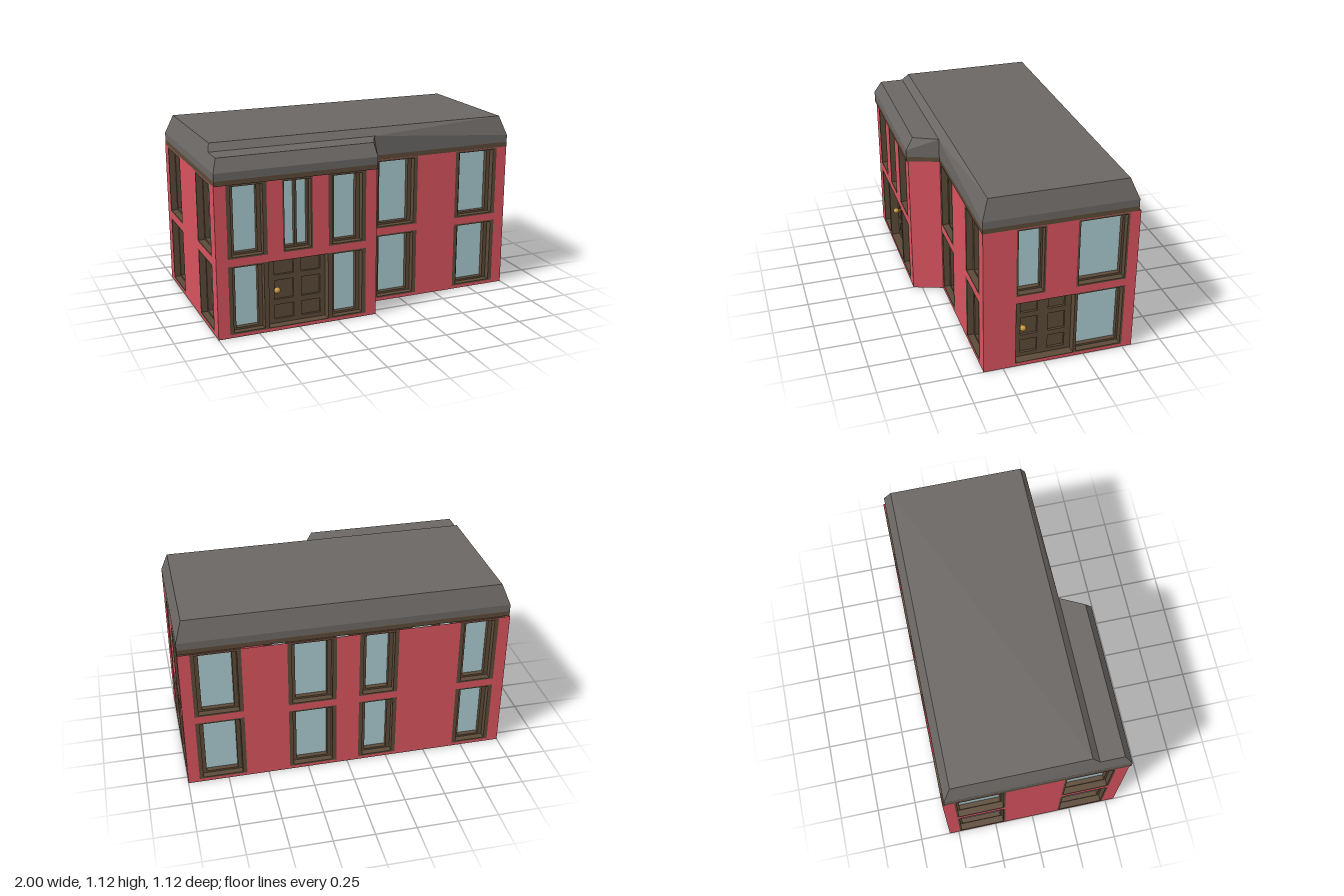
import * as THREE from 'three';

const mat = (color) => new THREE.MeshStandardMaterial({ color, flatShading: true, side: THREE.DoubleSide });
const brick = mat(0xd9535f), wood = mat(0x5c4a38), slate = mat(0x6b6764), glass = mat(0xaacbd0);
const brass = new THREE.MeshStandardMaterial({ color: 0xc8963a });

const LOW = [0.02, 0.44], HIGH = [0.485, 0.922], WALL_TOP = 0.926;

function add(parent, name, geometry, material, x = 0, y = 0, z = 0) {
  const mesh = new THREE.Mesh(geometry, material);
  mesh.name = name;
  mesh.position.set(x, y, z);
  parent.add(mesh);
  return mesh;
}

function trace(path, points) {
  points.forEach(([x, y], i) => (i ? path.lineTo(x, y) : path.moveTo(x, y)));
  path.closePath();
  return path;
}

// Flat rectangle with rectangular holes; each rectangle is [x0, x1, y0, y1]
const corners = ([x0, x1, y0, y1]) => [[x0, y0], [x1, y0], [x1, y1], [x0, y1]];
function panelShape(rect, holes = []) {
  const shape = trace(new THREE.Shape(), corners(rect));
  for (const h of holes) shape.holes.push(trace(new THREE.Path(), corners(h).reverse()));
  return shape;
}
const shrink = ([x0, x1, y0, y1], dx, dy) => [x0 + dx, x1 - dx, y0 + dy, y1 - dy];
const extrude = (shape, depth) => new THREE.ExtrudeGeometry(shape, { depth, bevelEnabled: false });

// Recessed window: casing flush with the wall, deeper sash, then glass
function addWindow(parent, rect, side = 0.05, mullion = false) {
  const g = new THREE.Group();
  g.name = 'window';
  parent.add(g);
  const opening = shrink(rect, side * 0.5, 0.01);
  const pane = shrink(rect, side, 0.022);
  add(g, 'windowCasing', extrude(panelShape(rect, [opening]), 0.075), wood, 0, 0, -0.075);
  add(g, 'windowSash', extrude(panelShape(opening, [pane]), 0.035), wood, 0, 0, -0.075);
  add(g, 'windowGlass', new THREE.ShapeGeometry(panelShape(pane)), glass, 0, 0, -0.07);
  if (mullion) {
    add(g, 'windowMullion', new THREE.BoxGeometry(0.014, pane[3] - pane[2], 0.04),
      wood, (pane[0] + pane[1]) / 2, (pane[2] + pane[3]) / 2, -0.06);
  }
}

// Recessed six-panel door with a round knob
function addDoor(parent, rect) {
  const g = new THREE.Group();
  g.name = 'door';
  parent.add(g);
  const cx = (rect[0] + rect[1]) / 2;
  const panels = [];
  for (const x of [-0.135, 0.035]) {
    for (const [y0, y1] of [[0.05, 0.14], [0.175, 0.295], [0.33, 0.42]]) {
      panels.push([cx + x, cx + x + 0.1 + (rect[1] - rect[0] - 0.36), y0, y1]);
    }
  }
  add(g, 'doorJamb', extrude(panelShape(rect, [shrink(rect, 0.004, 0.004)]), 0.08), wood, 0, 0, -0.08);
  add(g, 'doorSlab', extrude(panelShape(rect, panels), 0.02), wood, 0, 0, -0.075);
  add(g, 'doorPanels', new THREE.ShapeGeometry(panelShape(rect)), wood, 0, 0, -0.07);
  const stem = add(g, 'doorKnobStem', new THREE.CylinderGeometry(0.007, 0.007, 0.03, 12), brass, cx - 0.127, 0.243, -0.045);
  stem.rotation.x = Math.PI / 2;
  add(g, 'doorKnob', new THREE.SphereGeometry(0.019, 20, 14), brass, cx - 0.127, 0.243, -0.028);
}

// Wall in its own plane: x along the wall, +z outward
function addWall(parent, name, [x, z], turn, [u0, u1], holes) {
  const g = new THREE.Group();
  g.name = name;
  g.position.set(x, 0, z);
  g.rotation.y = turn;
  parent.add(g);
  add(g, name + 'Brick', new THREE.ShapeGeometry(panelShape([u0, u1, 0, WALL_TOP], holes)), brick);
  return g;
}

// Horizontal slab from [x, z] outline points
function addSlab(parent, name, outline, y, height, material) {
  const shape = trace(new THREE.Shape(), outline.map(([x, z]) => [x, -z]));
  const geo = extrude(shape, height).rotateX(-Math.PI / 2);
  return add(parent, name, geo, material, 0, y, 0);
}

// Flat faces from corner loops, fanned into triangles
function facets(loops) {
  const pos = [];
  for (const p of loops) {
    for (let i = 1; i < p.length - 1; i++) pos.push(...p[0], ...p[i], ...p[i + 1]);
  }
  const geo = new THREE.BufferGeometry();
  geo.setAttribute('position', new THREE.Float32BufferAttribute(pos, 3));
  geo.computeVertexNormals();
  return geo;
}

function addRoof(parent) {
  const outline = [[-1, 0.565], [0, 0.565], [0.065, 0.372], [1, 0.372], [1, -0.548], [-1, -0.548]];
  addSlab(parent, 'eavesTrim', outline, 0.925, 0.03, wood);
  addSlab(parent, 'roofFascia', outline, 0.955, 0.045, slate);

  // Base corners, upper corners, and the line where the bay meets the main roof
  const [bayL, bayR, notch, frontR, backR, backL] = outline.map(([x, z]) => [x, 1, z]);
  const frontL = [-1, 1, 0.372];
  const topBL = [-0.955, 1.12, -0.5], topBR = [0.96, 1.12, -0.5];
  const topFR = [0.96, 1.12, 0.33], topFL = [-0.955, 1.12, 0.33];
  const meetL = [-0.972, 1.077, 0.372], meetR = [0.065, 1.077, 0.372];
  const bayTopL = [-0.972, 1.077, 0.52], bayTopR = [-0.008, 1.077, 0.52];
  add(parent, 'mainRoof', facets([
    [topFL, topFR, topBR, topBL],
    [backR, backL, topBL, topBR],
    [frontR, backR, topBR, topFR],
    [meetL, meetR, topFR, topFL],
    [meetR, frontR, topFR],
    [notch, frontR, meetR],
    [backL, frontL, meetL, topFL, topBL],
  ]), slate);
  add(parent, 'bayRoof', facets([
    [bayL, bayR, bayTopR, bayTopL],
    [frontL, bayL, bayTopL, meetL],
    [bayTopL, bayTopR, meetR, meetL],
    [bayR, notch, meetR, bayTopR],
  ]), slate);
}

export function createModel() {
  const house = new THREE.Group();
  house.name = 'house';
  const both = (spans) => spans.flatMap((s) => [[...s, ...LOW], [...s, ...HIGH]]);
  const baySpans = [[-0.93, -0.69], [-0.31, -0.07]];
  const mainSpans = [[0.07, 0.365], [0.635, 0.93]];

  // Projecting front bay with the main door
  const mid = [-0.595, -0.41, ...HIGH];
  const bay = addWall(house, 'bayFrontWall', [0, 0.555], 0, [-1, 0],
    [[-0.93, -0.07, ...LOW], mid, ...baySpans.map((s) => [...s, ...HIGH])]);
  both(baySpans).forEach((r) => addWindow(bay, r));
  addWindow(bay, mid, 0.02, true);
  addDoor(bay, [-0.69, -0.31, ...LOW]);

  // Set-back front wall
  const front = addWall(house, 'mainFrontWall', [0, 0.37], 0, [0.065, 1], both(mainSpans));
  both(mainSpans).forEach((r) => addWindow(front, r));

  // Slanted wall joining bay and main front
  const slant = Math.hypot(0.065, 0.185);
  addWall(house, 'slantedWall', [0, 0.555], Math.atan2(0.185, 0.065), [0, slant], []);

  // Back wall repeats the front spacing, mirrored into its own plane
  const backRects = both([...baySpans, ...mainSpans].map(([a, b]) => [-b, -a]));
  const back = addWall(house, 'backWall', [0, -0.56], Math.PI, [-1, 1], backRects);
  backRects.forEach((r) => addWindow(back, r));

  // Side wall with the second door
  const narrow = [-0.175, 0, ...HIGH], wide = [0.187, 0.495];
  const side = addWall(house, 'doorSideWall', [1, 0], Math.PI / 2, [-0.37, 0.56],
    [[-0.177, 0.495, ...LOW], narrow, [...wide, ...HIGH]]);
  addWindow(side, narrow, 0.022);
  both([wide]).forEach((r) => addWindow(side, r, 0.026));
  addDoor(side, [-0.177, 0.187, ...LOW]);

  // Opposite side wall
  const farRects = both([[-0.49, -0.185], [0.17, 0.475]]);
  const far = addWall(house, 'farSideWall', [-1, 0], -Math.PI / 2, [-0.56, 0.555], farRects);
  farRects.forEach((r) => addWindow(far, r, 0.026));

  // Floor and roof
  addSlab(house, 'floor',
    [[-1, 0.555], [0, 0.555], [0.065, 0.37], [1, 0.37], [1, -0.56], [-1, -0.56]], 0, 0.004, wood);
  addRoof(house);
  return house;
}
